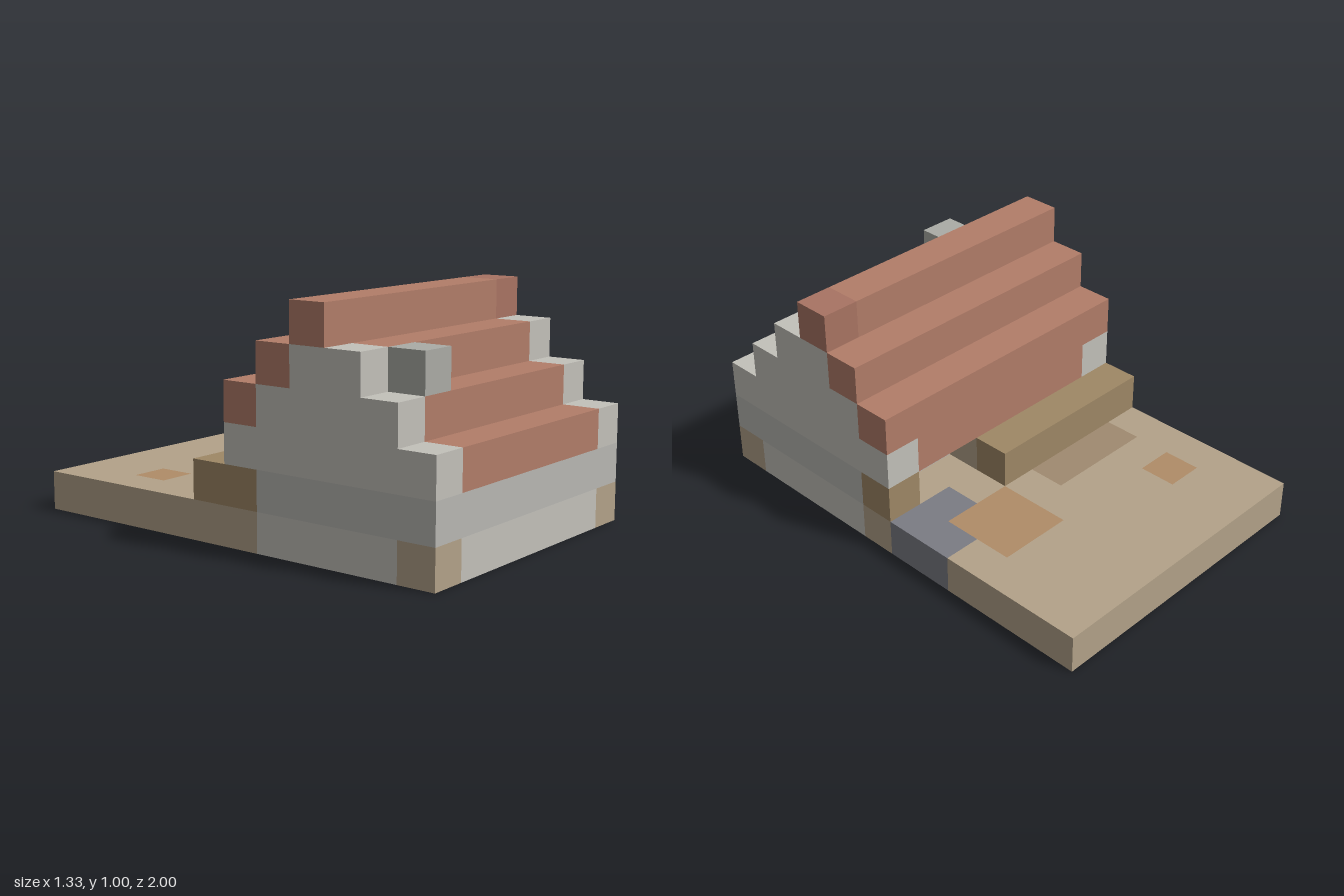
import * as THREE from 'three';

const U = 1 / 6; // one block
const COLORS = {
  stone: 0xc3c1ba, band: 0xb9b8b3, chimney: 0xabaca6, roof: 0xb27d69, ridgeEnd: 0xa97463,
  sand: 0xb3a289, timber: 0x9f8866, slate: 0x7b7c84, clay: 0xb08c68, mud: 0xa08a70,
};
const materials = {};
for (const key in COLORS) {
  materials[key] = new THREE.MeshStandardMaterial({
    color: COLORS[key], flatShading: true, side: THREE.DoubleSide,
  });
}
const FACES = ['+x', '-x', '+y', '-y', '+z', '-z'];

export function createModel() {
  const model = new THREE.Group();
  model.name = 'blockHouse';

  // Block from grid ranges; the listed faces are left open
  function block(name, mat, [x0, x1], [y0, y1], [z0, z1], open = []) {
    const geo = new THREE.BoxGeometry((x1 - x0) * U, (y1 - y0) * U, (z1 - z0) * U);
    if (open.length) {
      const index = Array.from(geo.index.array);
      geo.setIndex(index.filter((_, i) => !open.includes(FACES[Math.floor(i / 6)])));
      geo.clearGroups();
    }
    geo.translate((x0 + x1) / 2 * U, (y0 + y1) / 2 * U, (z0 + z1) / 2 * U);
    const mesh = new THREE.Mesh(geo, materials[mat]);
    mesh.name = name;
    model.add(mesh);
  }
  // Same block on both sides of the house
  function pair(name, mat, x, y, z, open) {
    block(name + 'Left', mat, x, y, z, open);
    block(name + 'Right', mat, [-x[1], -x[0]], y, z, open);
  }
  // Single face of a block
  function panel(name, mat, x, y, z, face) {
    block(name, mat, x, y, z, FACES.filter((f) => f !== face));
  }

  // Ground surface, one row of tiles per step in z, from the back forward
  const ground = [
    'ssssssss',
    'ssssssss',
    'scssssss',
    'sssssccs',
    'smmmsccb',
    '.....sbb',
    '.ssssss.',
    '.ssssss.',
    '.smmmms.',
    '.ssssss.',
    '..sssss.',
  ];
  const tiles = { s: 'sand', c: 'clay', m: 'mud', b: 'slate' };
  ground.forEach((row, r) => {
    for (let i = 0; i < 8;) {
      let j = i;
      while (j < 8 && row[j] === row[i]) j++;
      if (row[i] !== '.') panel('groundTile', tiles[row[i]], [i - 4, j - 4], [0, 1], [r - 6, r - 5], '+y');
      i = j;
    }
  });

  // Thin edges of the yard
  panel('yardBackEdge', 'sand', [-4, 4], [0, 1], [-6, 0], '-z');
  panel('yardRightEdge', 'sand', [-4, 4], [0, 1], [-6, 0], '-x');
  panel('yardLeftEdge', 'sand', [-4, 4], [0, 1], [-6, -2], '+x');
  panel('pondEdge', 'slate', [-4, 4], [0, 1], [-2, 0], '+x');

  // Foundation ring
  block('foundationFront', 'stone', [-3, 3], [0, 1], [5, 6]);
  pair('foundationSide', 'stone', [3, 4], [0, 1], [1, 5]);
  pair('frontCornerStone', 'sand', [3, 4], [0, 1], [5, 6]);
  pair('backCornerStone', 'sand', [3, 4], [0, 1], [0, 1]);
  block('chimneyFooting', 'stone', [-3, -2], [0, 1], [4, 5]);

  // Wall band, with a doorway recess at the back
  block('wallBand', 'band', [-4, 4], [1, 2], [1, 6], ['-y']);
  pair('backPost', 'timber', [3, 4], [1, 2], [0, 1]);
  block('backWall', 'sand', [-3, 1], [1, 2], [0, 1], ['-y']);
  block('backStep', 'timber', [-4, 1], [1, 2], [-1, 0], ['-y', '+z']);

  // Stepped gables with the roof between them: [y, back z, front z]
  for (const [y, z0, z1] of [[2, 0, 6], [3, 1, 5], [4, 2, 4]]) {
    pair('gable', 'stone', [3, 4], [y, y + 1], [z0, z1]);
    block('roofStep', 'roof', [-3, 3], [y, y + 1], [z0, z1]);
  }
  // Rear roof courses reach over the gables
  block('rearEave', 'roof', [-4, 4], [3, 4], [0, 1]);
  block('rearCourse', 'roof', [-4, 4], [4, 5], [1, 2]);
  block('ridge', 'roof', [-4, 3], [5, 6], [2, 3]);
  block('ridgeEnd', 'ridgeEnd', [3, 4], [5, 6], [2, 3]);
  block('chimney', 'chimney', [-3, -2], [4, 5], [4, 5]);

  return model;
}
